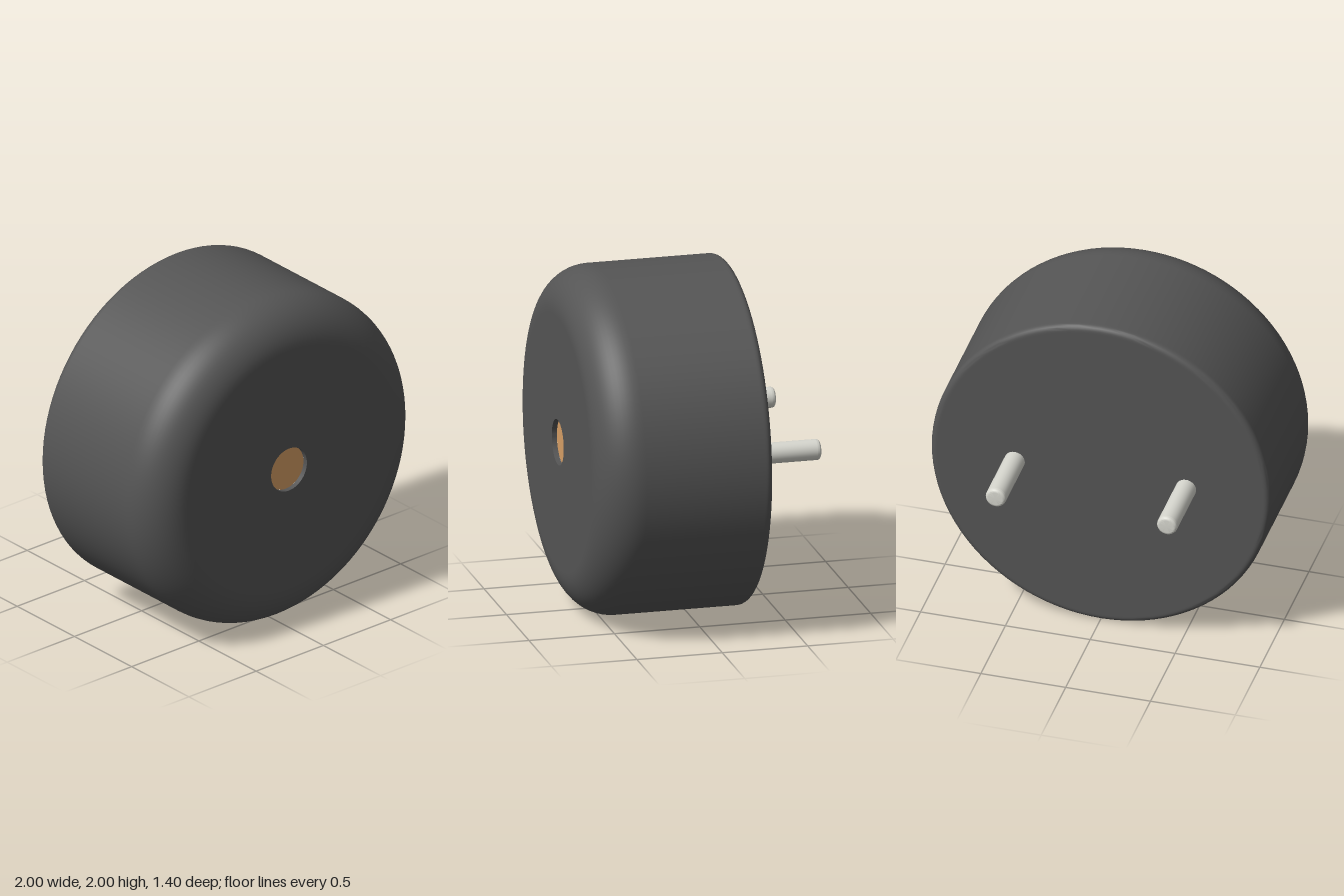
import * as THREE from 'three';
import { toCreasedNormals } from 'three/addons/utils/BufferGeometryUtils.js';

// Quarter-round corner points as [radius, z]
function fillet(cr, cz, r, from, steps) {
  return Array.from({ length: steps + 1 }, (_, i) => {
    const a = from + (i / steps) * Math.PI / 2;
    return [cr + r * Math.cos(a), cz + r * Math.sin(a)];
  });
}

// Turned part with its axis along z; profile runs from back to front
function turned(name, profile, segments, color) {
  const points = profile.map(([r, z]) => new THREE.Vector2(Math.max(r, 0), z));
  const geometry = toCreasedNormals(new THREE.LatheGeometry(points, segments), 0.6);
  geometry.rotateX(Math.PI / 2);
  const mesh = new THREE.Mesh(geometry, new THREE.MeshStandardMaterial({ color }));
  mesh.name = name;
  return mesh;
}

export function createModel() {
  const model = new THREE.Group();
  model.name = 'buzzer';

  const back = -0.3, front = 0.7, holeR = 0.133, floorZ = 0.67;
  const backR = 0.035, frontR = 0.25;

  // Round housing: small rear edge, large front edge, sound hole in the middle
  const housing = turned('housing', [
    [0, back], [0.955, back],
    ...fillet(1 - backR, back + backR, backR, -Math.PI / 2, 6),
    [1, back + backR + 0.01], [1, front - frontR - 0.01],
    ...fillet(1 - frontR, front - frontR, frontR, 0, 14),
    [0.74, front], [holeR, front], [holeR, floorZ],
  ], 96, 0x555555);
  housing.position.y = 1;
  model.add(housing);

  // Brass diaphragm at the bottom of the sound hole
  const diaphragm = new THREE.Mesh(
    new THREE.CircleGeometry(holeR, 48),
    new THREE.MeshStandardMaterial({ color: 0xd9a066 }),
  );
  diaphragm.name = 'diaphragm';
  diaphragm.position.set(0, 1, floorZ);
  model.add(diaphragm);

  // Two connecting pins with rounded tips
  const pinR = 0.06, tipR = 0.02, tip = -0.7;
  for (const [name, x] of [['leftPin', 0.503], ['rightPin', -0.507]]) {
    const pin = turned(name, [
      [0, tip], [pinR - tipR - 0.003, tip],
      ...fillet(pinR - tipR, tip + tipR, tipR, -Math.PI / 2, 5),
      [pinR, tip + tipR + 0.005], [pinR, back + 0.01],
    ], 32, 0xd6d6ce);
    pin.position.set(x, 1, 0);
    model.add(pin);
  }

  return model;
}
